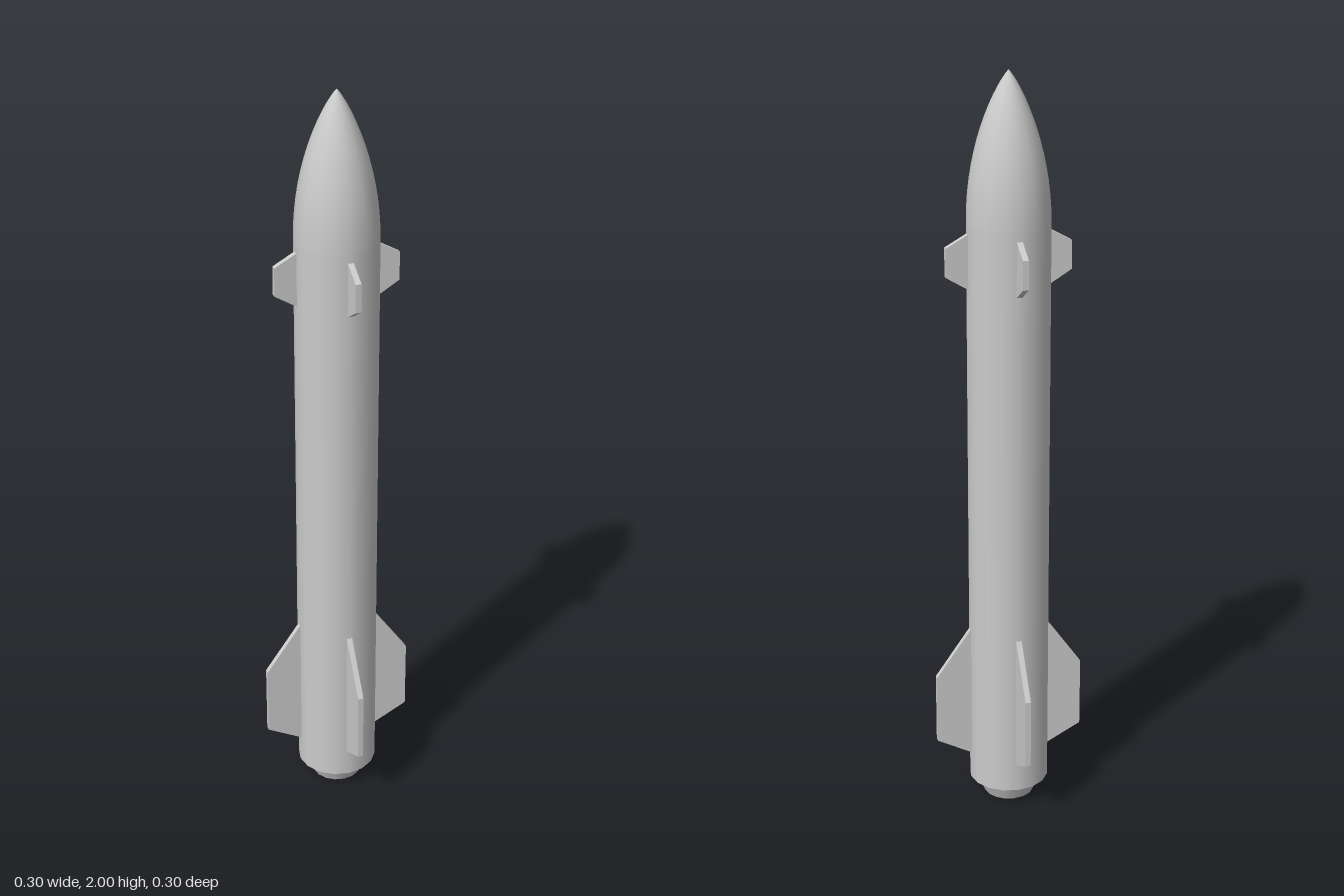
import * as THREE from 'three';

const SIDES = 16, RADIUS = 0.108, NOSE_BASE = 1.62, BODY_BASE = 0.05;

export function createModel() {
  const group = new THREE.Group();
  const material = new THREE.MeshStandardMaterial({ color: 0xcccccc });

  const add = (name, geometry, parent = group) => {
    const mesh = new THREE.Mesh(geometry, material);
    mesh.name = name;
    parent.add(mesh);
    return mesh;
  };
  // Profiles run from bottom to top as [radius, y]
  const lathe = (name, profile) =>
    add(name, new THREE.LatheGeometry(profile.map(([r, y]) => new THREE.Vector2(r, y)), SIDES));

  // Pointed, rounded nose that runs smoothly into the body
  const nose = [];
  for (let i = 0; i <= 16; i++) {
    const t = Math.sin((i / 16) * Math.PI / 2);
    nose.push([RADIUS * Math.pow(Math.max(0, 1 - t * t), 0.85), NOSE_BASE + (2 - NOSE_BASE) * t]);
  }
  lathe('noseCone', nose);

  // Straight body, its bevelled lower rim, and the tail nozzle
  lathe('body', [[RADIUS, BODY_BASE], [RADIUS, NOSE_BASE]]);
  lathe('tailRim', [[0.083, 0.038], [RADIUS, BODY_BASE]]);
  lathe('nozzle', [[0.068, 0], [0.085, 0.04]]);
  lathe('nozzleCap', [[0, 0], [0.068, 0]]);

  // Fin outline as [distance from axis, y], extruded and centred on its plane
  const finGeometry = (outline, thickness) => {
    const shape = new THREE.Shape(outline.map(([r, y]) => new THREE.Vector2(r, y)));
    return new THREE.ExtrudeGeometry(shape, { depth: thickness, bevelEnabled: false })
      .translate(0, 0, -thickness / 2);
  };
  const tailFin = finGeometry(
    [[0.09, 0.12], [0.107, 0.128], [0.202, 0.178], [0.202, 0.37], [0.107, 0.505], [0.09, 0.53]], 0.015);
  const foreFin = finGeometry(
    [[0.09, 1.443], [0.107, 1.455], [0.164, 1.49], [0.164, 1.565], [0.107, 1.597], [0.09, 1.607]], 0.015);

  // Four fins of each kind on the diagonals
  for (let i = 0; i < 4; i++) {
    const angle = Math.PI / 4 + i * Math.PI / 2;
    add('tailFin' + (i + 1), tailFin).rotation.y = angle;
    add('foreFin' + (i + 1), foreFin).rotation.y = angle;
  }
  return group;
}
